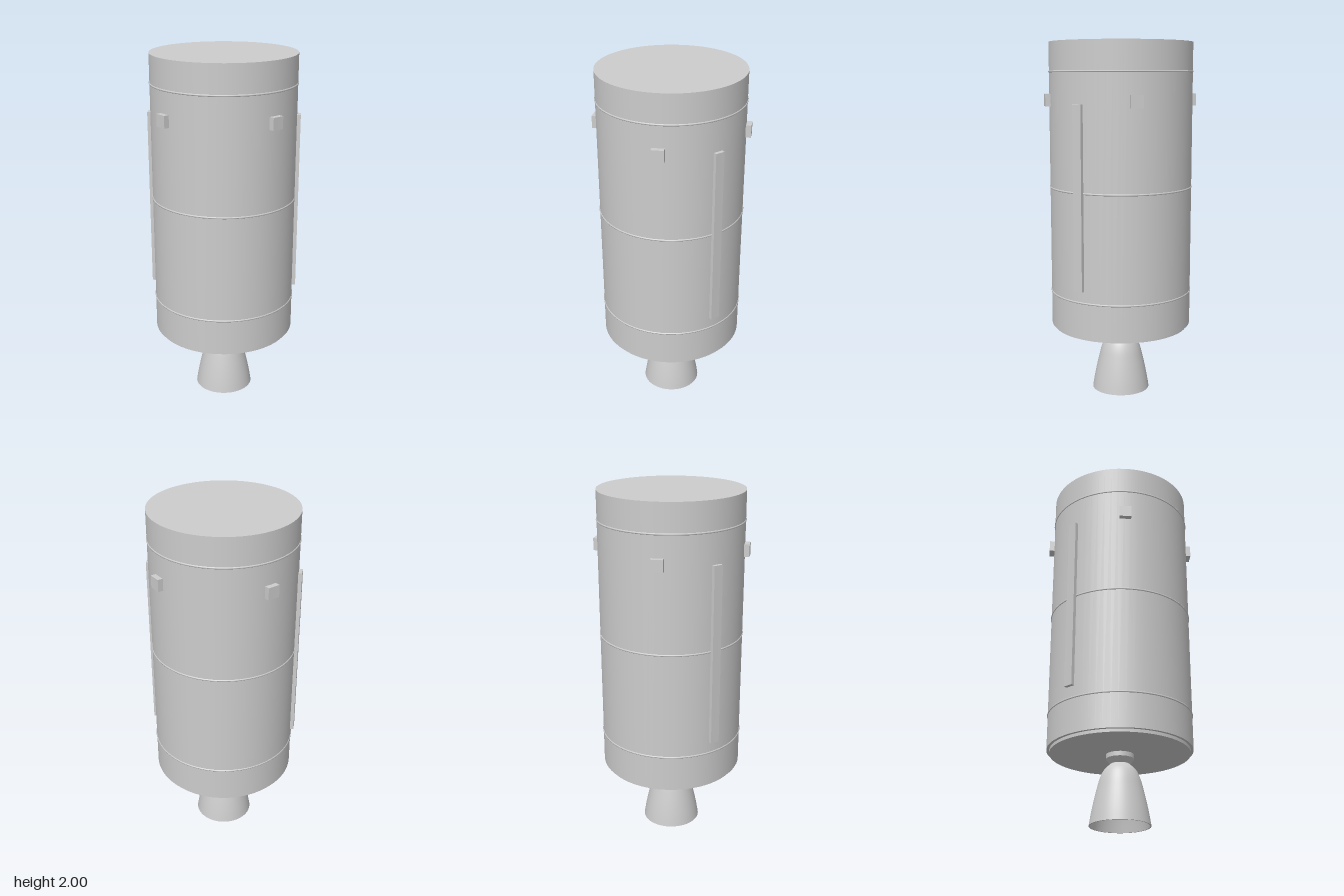
import * as THREE from 'three';

export function createModel() {
  const model = new THREE.Group();
  const grey = new THREE.MeshStandardMaterial({ color: 0xcccccc });
  grey.name = 'light grey';
  const greyOpen = new THREE.MeshStandardMaterial({ color: 0xcccccc, side: THREE.DoubleSide });
  greyOpen.name = 'light grey';

  const add = (name, geometry, y, material = grey) => {
    const mesh = new THREE.Mesh(geometry, material);
    mesh.name = name;
    mesh.position.y = y;
    model.add(mesh);
    return mesh;
  };

  // Tank body and the recessed plate under it
  add('body', new THREE.CylinderGeometry(0.4, 0.4, 1.595, 64), 1.2025);
  add('basePlate', new THREE.CylinderGeometry(0.385, 0.385, 0.03, 64), 0.403);

  // Slim seam rings around the body
  for (const y of [0.6, 1.2, 1.84]) {
    const ring = add('seamRing', new THREE.TorusGeometry(0.398, 0.006, 8, 64), y);
    ring.rotation.x = Math.PI / 2;
  }

  // Four thruster blocks, one on each side
  for (let i = 0; i < 4; i++) {
    const a = i * Math.PI / 2;
    const block = add('thrusterBlock', new THREE.BoxGeometry(0.067, 0.067, 0.056), 1.685);
    block.position.x = Math.sin(a) * 0.4;
    block.position.z = Math.cos(a) * 0.4;
    block.rotation.y = a;
  }

  // Two cable ducts on opposite diagonals
  for (const a of [-Math.PI / 4, Math.PI * 3 / 4]) {
    const duct = add('cableDuct', new THREE.BoxGeometry(0.053, 1.004, 0.032), 1.168);
    duct.position.x = Math.sin(a) * 0.403;
    duct.position.z = Math.cos(a) * 0.403;
    duct.rotation.y = a;
  }

  // Engine mount: short collar tapering into the throat
  add('engineCollar', new THREE.CylinderGeometry(0.077, 0.077, 0.027, 32), 0.3765);
  add('engineThroat', new THREE.CylinderGeometry(0.077, 0.052, 0.03, 32), 0.348);

  // Bell nozzle with a thin wall, open at the bottom
  const bell = new THREE.SplineCurve([
    [0.165, 0], [0.155, 0.06], [0.142, 0.125], [0.127, 0.19],
    [0.111, 0.25], [0.088, 0.3], [0.052, 0.335],
  ].map(([x, y]) => new THREE.Vector2(x, y))).getPoints(20);
  const wall = 0.006;
  add('nozzleOuter', new THREE.LatheGeometry(bell, 48), 0, greyOpen);
  add('nozzleInner', new THREE.LatheGeometry(
    bell.map(p => new THREE.Vector2(p.x - wall, p.y)), 48), 0, greyOpen);
  const lip = add('nozzleLip', new THREE.RingGeometry(0.165 - wall, 0.165, 48), 0, greyOpen);
  lip.rotation.x = Math.PI / 2;

  return model;
}
